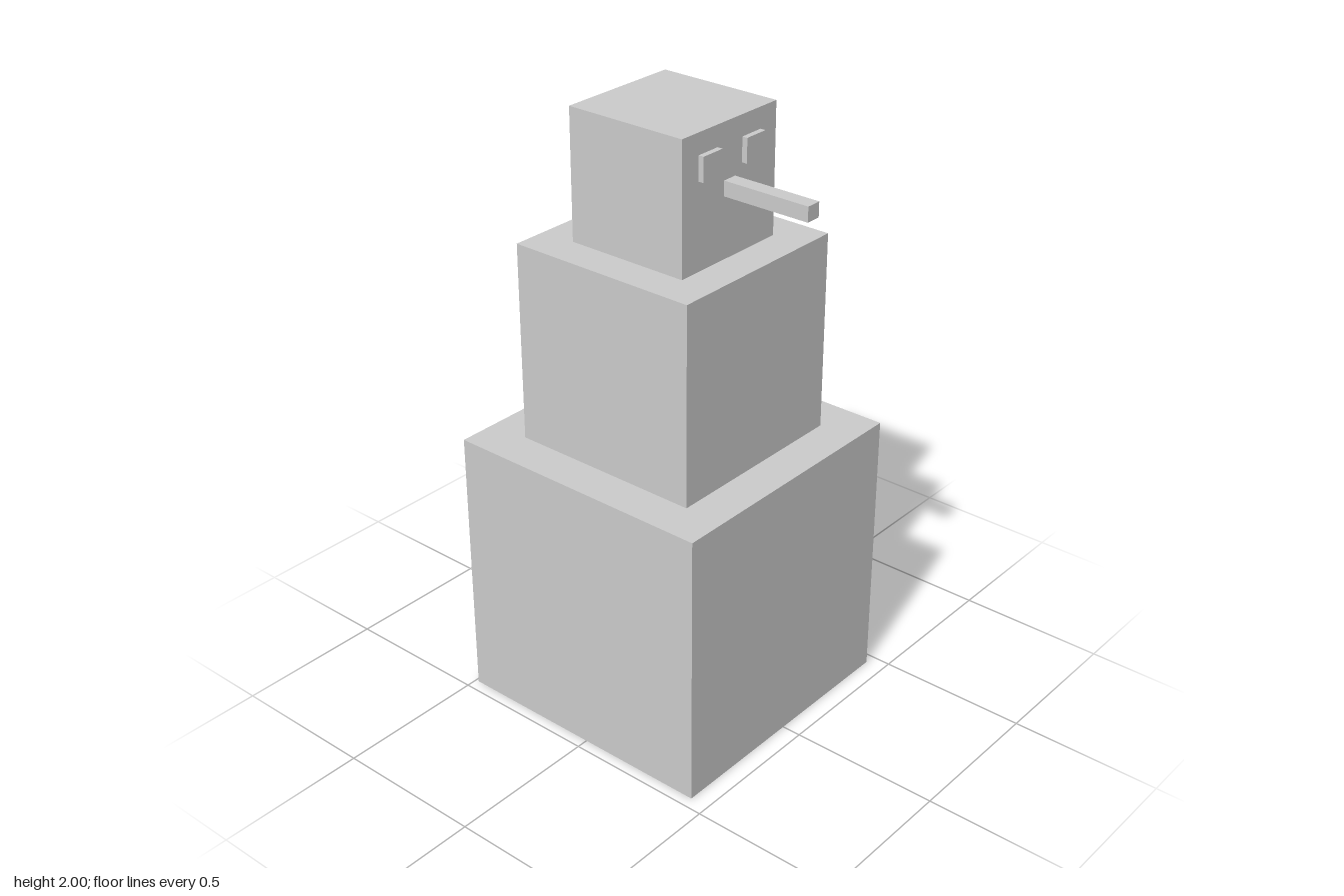
import * as THREE from 'three';

export function createModel() {
  const model = new THREE.Group();
  model.name = 'blockSnowman';
  const material = new THREE.MeshStandardMaterial({ color: 0xcccccc, flatShading: true });

  const addBox = (name, [w, h, d], [x, y, z]) => {
    const mesh = new THREE.Mesh(new THREE.BoxGeometry(w, h, d), material);
    mesh.name = name;
    mesh.position.set(x, y, z);
    model.add(mesh);
  };

  // Three stacked cubes, sharing one axis
  const axisZ = -0.026;
  let y = 0;
  for (const [name, size] of [['lowerBody', 0.924], ['upperBody', 0.655], ['head', 0.421]]) {
    addBox(name, [size, size, size], [0, y + size / 2, axisZ]);
    y += size;
  }

  // Face: thin square eyes and a long square nose, slightly sunk into the head
  const faceZ = axisZ + 0.421 / 2;
  const sunk = 0.01;
  for (const [name, side] of [['leftEye', 1], ['rightEye', -1]]) {
    addBox(name, [0.083, 0.078, 0.018 + sunk], [side * 0.097, 1.894, faceZ + (0.018 - sunk) / 2]);
  }
  addBox('nose', [0.05, 0.048, 0.298 + sunk], [0, 1.8, faceZ + (0.298 - sunk) / 2]);

  return model;
}
